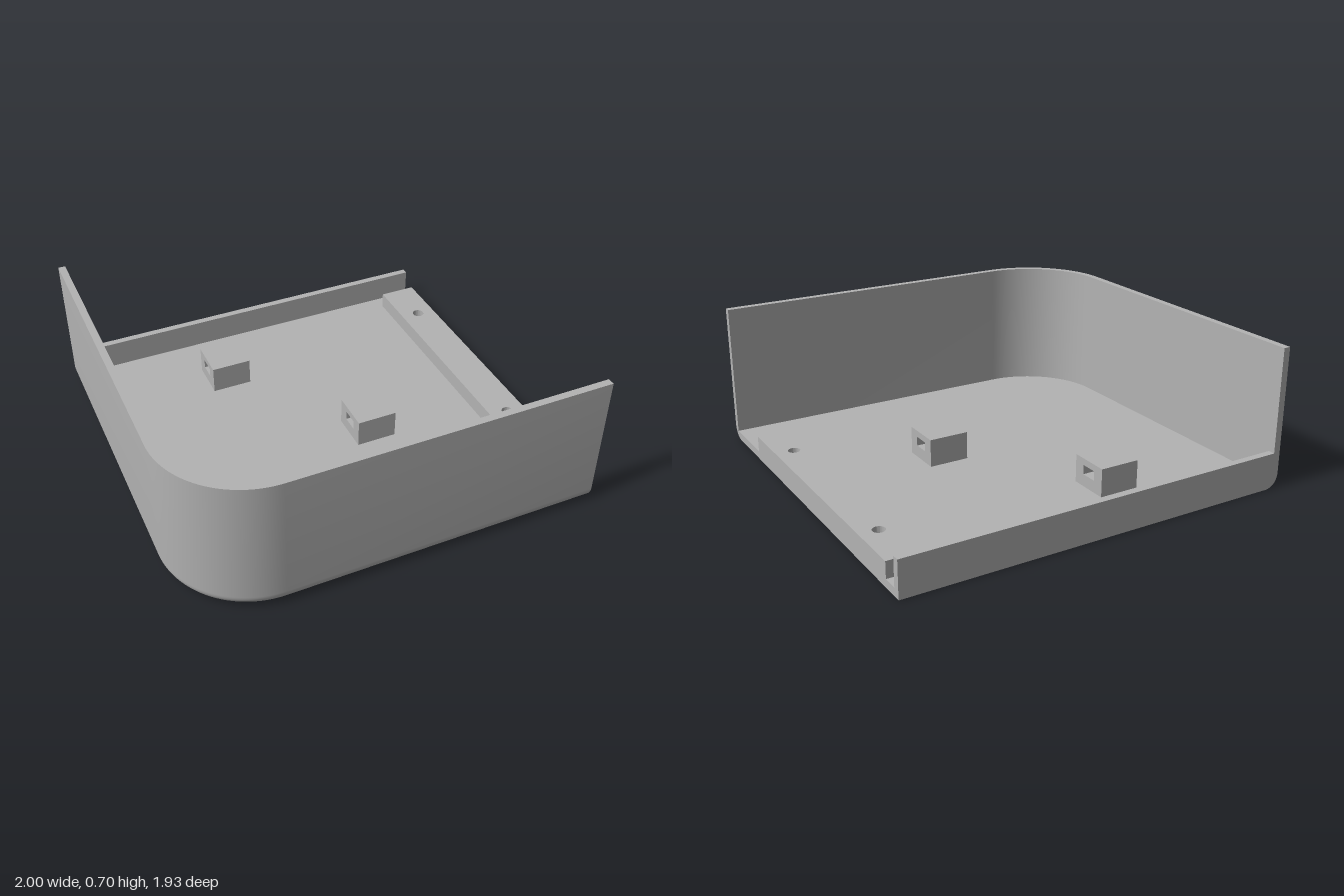
import * as THREE from 'three';
import { toCreasedNormals } from 'three/addons/utils/BufferGeometryUtils.js';

const W = 1, D = 0.965;            // half width and half depth
const WALL = 0.035, FLOOR = 0.04;  // thicknesses
const TALL = 0.70, LOW = 0.18;     // wall heights
const CORNER = 0.44, FILLET = 0.07;

// Plan line of the left wall, round corner and front wall, offset inward by d: [x, z]
function planLine(d) {
  const pts = [[-W + d, -D]], n = 32;
  for (let i = 0; i <= n; i++) {
    const a = (i / n) * Math.PI / 2, r = CORNER - d;
    pts.push([-W + CORNER - r * Math.cos(a), D - CORNER + r * Math.sin(a)]);
  }
  pts.push([W, D - d]);
  return pts;
}

// Wall section from the underside, round the fillet, over the rim, down to the floor: [inset, y]
function wallSection() {
  const pts = [], n = 10;
  for (let i = 0; i <= n; i++) {
    const a = (i / n) * Math.PI / 2;
    pts.push([FILLET * (1 - Math.sin(a)), FILLET * (1 - Math.cos(a))]);
  }
  pts.push([0, TALL], [WALL, TALL], [WALL, FLOOR]);
  return pts;
}

const toShape = (pts) => new THREE.Shape(pts.map(([x, y]) => new THREE.Vector2(x, y)));

// Sweep the wall section along the plan line
function sweepWall(section) {
  const pos = [], index = [], rows = section.length;
  const lines = section.map(([d]) => planLine(d));
  const cols = lines[0].length;
  lines.forEach((line, j) => line.forEach(([x, z]) => pos.push(x, section[j][1], z)));
  for (let j = 0; j < rows - 1; j++) {
    for (let i = 0; i < cols - 1; i++) {
      const a = j * cols + i, b = a + 1, c = b + cols, e = a + cols;
      index.push(a, b, c, a, c, e);
    }
  }
  const g = new THREE.BufferGeometry();
  g.setAttribute('position', new THREE.Float32BufferAttribute(pos, 3));
  g.setIndex(index);
  return toCreasedNormals(g, Math.PI / 6);
}

export function createModel() {
  const group = new THREE.Group();
  const grey = new THREE.MeshStandardMaterial({ color: 0xb3b3b3 });
  grey.name = 'plain grey';
  const add = (name, geometry) => {
    const mesh = new THREE.Mesh(geometry, grey);
    mesh.name = name;
    group.add(mesh);
    return mesh;
  };

  // Tall wall with rounded corner
  const section = wallSection();
  add('tallWall', sweepWall(section));

  // Floor top and underside
  const inner = planLine(WALL).concat([[W, -D]]).map(([x, z]) => [x, -z]);
  add('floorTop', new THREE.ShapeGeometry(toShape(inner)).rotateX(-Math.PI / 2).translate(0, FLOOR, 0));
  const under = planLine(FILLET).concat([[W, -D]]);
  add('underside', new THREE.ShapeGeometry(toShape(under)).rotateX(Math.PI / 2));

  // Cut ends of the wall and floor, on the open side and at the back
  const cut = (length) => section.concat([[length, FLOOR], [length, 0]]);
  const side = cut(2 * D).map(([d, y]) => [d - D, y]);
  add('openSideEdge', new THREE.ShapeGeometry(toShape(side)).rotateY(Math.PI / 2).translate(W, 0, 0));
  const back = cut(2 * W).map(([d, y]) => [W - d, y]);
  add('backEdge', new THREE.ShapeGeometry(toShape(back)).rotateY(Math.PI).translate(0, 0, -D));

  // Low back wall
  add('lowBackWall', new THREE.BoxGeometry(2 * W - WALL, LOW - FLOOR, WALL)
    .translate(WALL / 2, (LOW + FLOOR) / 2, -D + WALL / 2));

  // Mounting rail with two screw holes
  const rail = toShape([[0.81, -0.615], [W, -0.615], [W, 0.855], [0.81, 0.855]]);
  for (const z of [-0.6, 0.36]) {
    rail.holes.push(new THREE.Path().absarc(0.907, -z, 0.03, 0, Math.PI * 2, true));
  }
  const railGeometry = new THREE.ExtrudeGeometry(rail, { depth: 0.08, bevelEnabled: false, curveSegments: 24 });
  add('mountingRail', toCreasedNormals(railGeometry.rotateX(-Math.PI / 2).translate(0, FLOOR, 0), Math.PI / 6));

  // Two blocks, each with a slot passing through from side to side
  const size = 0.203, h = size / 2, s = 0.042;
  for (const [x, z] of [[-0.267, -0.595], [0.243, 0.105]]) {
    const block = toShape([[-h, FLOOR], [h, FLOOR], [h, LOW], [-h, LOW]]);
    block.holes.push(toShape([[-s, 0.1], [-s, 0.147], [s, 0.147], [s, 0.1]]));
    const g = new THREE.ExtrudeGeometry(block, { depth: size, bevelEnabled: false });
    add('slottedBlock', g.translate(0, 0, -h).rotateY(Math.PI / 2)).position.set(x, 0, z);
  }

  return group;
}
